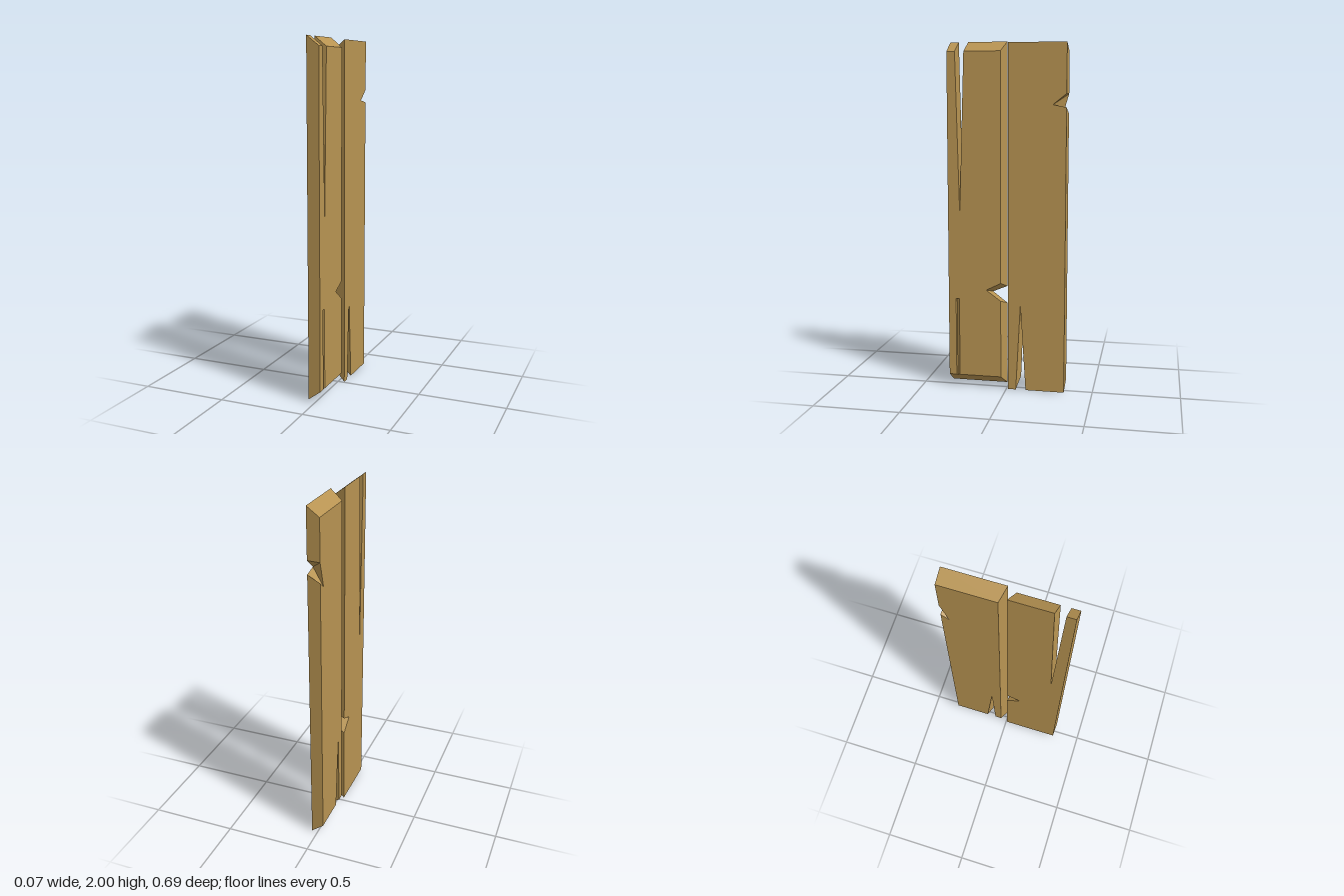
import * as THREE from 'three';

const X_FRONT = 0.036, X_BACK = -0.037;

// Outlines are lists of [z, y], counter-clockwise as seen from +x.
const at = (x) => ([z, y]) => [x, y, z];

function cap(out, outline, x, flip) {
  const contour = outline.map(([z, y]) => new THREE.Vector2(-z, y));
  const p = outline.map(at(x));
  for (const [a, b, c] of THREE.ShapeUtils.triangulateShape(contour, [])) {
    out.push(...p[a], ...(flip ? p[c] : p[b]), ...(flip ? p[b] : p[c]));
  }
}

// Wall between two matching rows of 3D points
function wall(out, near, far, closed) {
  const n = near.length;
  for (let i = 0; i < (closed ? n : n - 1); i++) {
    const j = (i + 1) % n;
    out.push(...near[i], ...far[i], ...far[j], ...near[i], ...far[j], ...near[j]);
  }
}

// A plank with bevelled ends and edges: its two faces have differing outlines
function plank(name, front, back, material, groove) {
  const out = [];
  let face = front;
  if (groove) {
    // Shallow slanted groove rising from the lower end of the +x face
    face = [front[0], ...groove.edge, ...front.slice(1)];
    wall(out, groove.edge.map(at(X_FRONT)), groove.floor.map(at(groove.x)), false);
  }
  cap(out, face, X_FRONT, false);
  cap(out, back, X_BACK, true);
  wall(out, front.map(at(X_FRONT)), back.map(at(X_BACK)), true);

  const geometry = new THREE.BufferGeometry();
  geometry.setAttribute('position', new THREE.Float32BufferAttribute(out, 3));
  geometry.computeVertexNormals();
  const mesh = new THREE.Mesh(geometry, material);
  mesh.name = name;
  return mesh;
}

export function createModel() {
  const group = new THREE.Group();
  group.name = 'woodenPlanks';
  const wood = new THREE.MeshStandardMaterial({ color: 0xb89452, flatShading: true });

  // Front plank: long crack from the top, chip on the inner edge, groove below
  group.add(plank('frontPlank',
    [[0.342, 0.07], [0.033, 0.07], [0.033, 0.525], [0.119, 0.587], [0.033, 0.63],
      [0.033, 1.945], [0.244, 1.945], [0.273, 1.03], [0.295, 1.945], [0.342, 1.945]],
    [[0.337, 0.015], [0.008, 0.015], [0.008, 0.50], [0.092, 0.565], [0.008, 0.60],
      [0.008, 2], [0.233, 2], [0.268, 1.03], [0.288, 2], [0.337, 2]],
    wood,
    {
      x: 0.018,
      edge: [[0.299, 0.07], [0.299, 0.53], [0.279, 0.53], [0.279, 0.07]],
      floor: [[0.297, 0.057], [0.297, 0.53], [0.297, 0.53], [0.297, 0.057]],
    }));

  // Back plank: short crack from the bottom, chip on the outer edge
  group.add(plank('backPlank',
    [[-0.009, 0], [-0.056, 0], [-0.082, 0.505], [-0.114, 0], [-0.338, 0],
      [-0.338, 1.635], [-0.262, 1.65], [-0.338, 1.71], [-0.338, 1.99], [-0.009, 1.99]],
    [[-0.035, 0.06], [-0.075, 0.06], [-0.092, 0.505], [-0.13, 0.06], [-0.343, 0.06],
      [-0.343, 1.60], [-0.30, 1.565], [-0.343, 1.71], [-0.343, 1.94], [-0.035, 1.94]],
    wood));

  return group;
}
